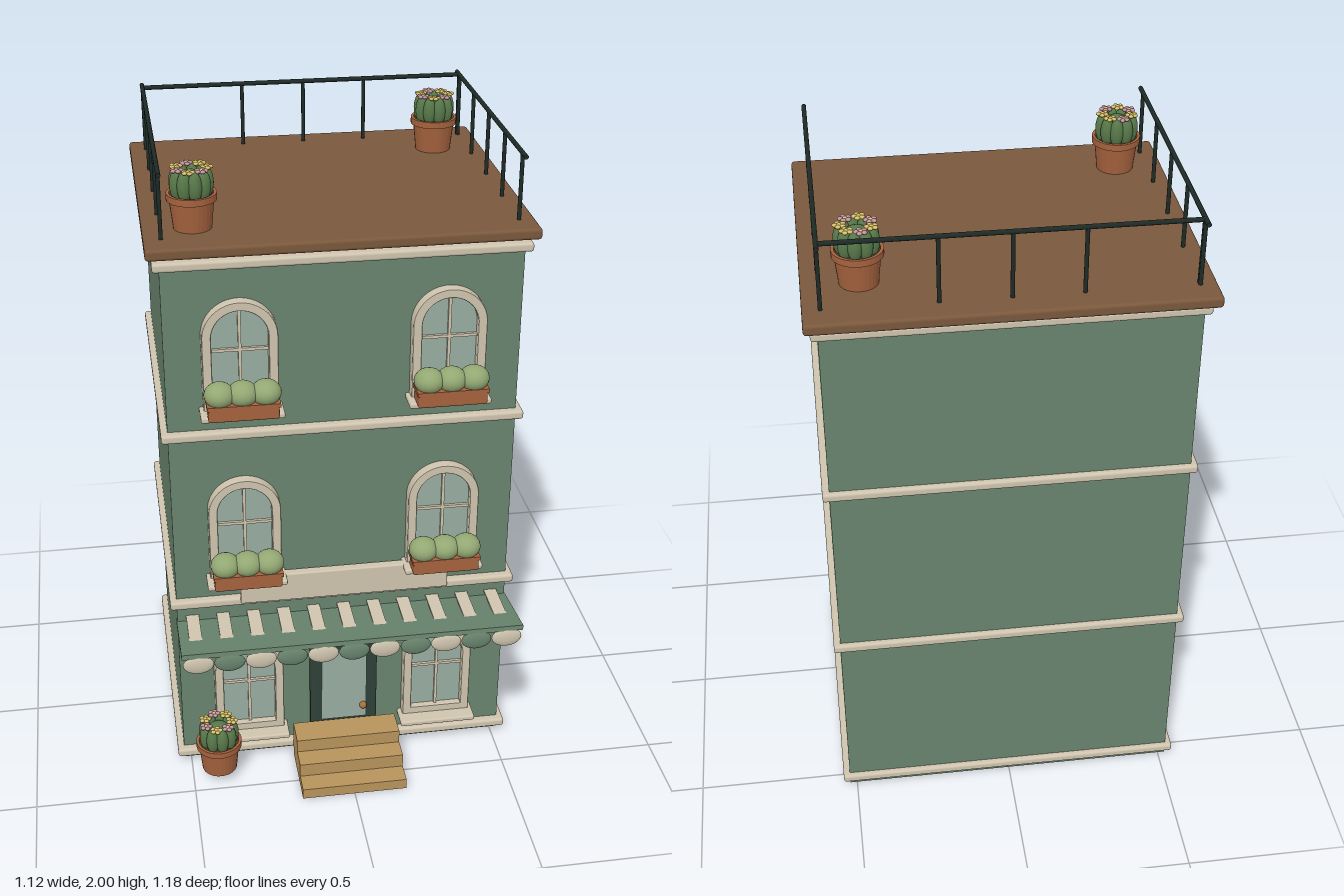
import * as THREE from 'three';
import { RoundedBoxGeometry } from 'three/addons/geometries/RoundedBoxGeometry.js';

const mat = (color) => new THREE.MeshStandardMaterial({ color });
const M = {
  wall: mat(0x69846e), cream: mat(0xcfc4ae), roof: mat(0x7a583c), rail: mat(0x1e2a26),
  dark: mat(0x2f4238), glass: mat(0x98aea1), pot: mat(0xa5623e), soil: mat(0x4a3626),
  bush: mat(0x93a873), cactus: mat(0x58794a), wood: mat(0xb8935c), brass: mat(0xa8703c),
  pink: mat(0xc492a0), yellow: mat(0xd8bf68),
};

function add(parent, name, geo, material, x = 0, y = 0, z = 0) {
  const m = new THREE.Mesh(geo, material);
  m.name = name;
  m.position.set(x, y, z);
  parent.add(m);
  return m;
}
const box = (w, h, d) => new THREE.BoxGeometry(w, h, d);
const round = (w, h, d, r) => new RoundedBoxGeometry(w, h, d, 2, r);
const sphere = new THREE.SphereGeometry(1, 20, 14);

function group(parent, name, x = 0, y = 0, z = 0) {
  const g = new THREE.Group();
  g.name = name;
  g.position.set(x, y, z);
  parent.add(g);
  return g;
}

// Arched outline: straight sides with a half-round head
function arch(Type, r, bottom, spring) {
  const p = new Type();
  p.moveTo(-r, bottom);
  p.lineTo(r, bottom);
  p.lineTo(r, spring);
  p.absarc(0, spring, r, 0, Math.PI, false);
  p.lineTo(-r, bottom);
  return p;
}

function addWindow(parent, x, y, planted) {
  const g = group(parent, 'window', x, y, 0.33);
  const frame = arch(THREE.Shape, 0.108, 0, 0.227);
  frame.holes.push(arch(THREE.Path, 0.084, 0.024, 0.227));
  add(g, 'windowFrame', new THREE.ExtrudeGeometry(frame, {
    depth: 0.029, bevelEnabled: true, bevelSize: 0.002, bevelThickness: 0.003, bevelSegments: 1, curveSegments: 20,
  }), M.cream);
  add(g, 'windowGlass', new THREE.ExtrudeGeometry(arch(THREE.Shape, 0.086, 0.02, 0.227), {
    depth: 0.012, bevelEnabled: false, curveSegments: 20,
  }), M.glass);
  add(g, 'windowBarVertical', box(0.009, 0.29, 0.012), M.cream, 0, 0.166, 0.015);
  add(g, 'windowBarHorizontal', box(0.17, 0.009, 0.012), M.cream, 0, 0.185, 0.015);
  add(g, 'windowSill', round(0.244, 0.018, 0.08, 0.006), M.cream, 0, -0.008, 0.037);
  if (!planted) return;
  // Flower box with three round shrubs
  add(g, 'planterBox', round(0.205, 0.05, 0.068, 0.006), M.pot, 0, 0.022, 0.07);
  add(g, 'planterRim', box(0.212, 0.012, 0.074), M.pot, 0, 0.042, 0.07);
  for (const i of [-1, 0, 1]) {
    add(g, 'shrub', sphere, M.bush, i * 0.067, 0.07, 0.07).scale.set(0.045, 0.038, 0.045);
  }
}

function addCactusPot(parent, x, y, z) {
  const g = group(parent, 'cactusPot', x, y, z);
  const profile = [[0, 0], [0.055, 0], [0.064, 0.085], [0.072, 0.085], [0.072, 0.105], [0.063, 0.105], [0.062, 0.093], [0, 0.093]];
  const potGeo = new THREE.LatheGeometry(profile.map(([r, h]) => new THREE.Vector2(r, h)), 28).toNonIndexed();
  potGeo.computeVertexNormals();
  add(g, 'pot', potGeo, M.pot);
  add(g, 'soil', new THREE.CylinderGeometry(0.062, 0.062, 0.006, 24), M.soil, 0, 0.094, 0);
  add(g, 'cactusCore', sphere, M.cactus, 0, 0.125, 0).scale.set(0.045, 0.045, 0.045);
  // Ribs around the core
  for (let i = 0; i < 9; i++) {
    const a = (i / 9) * Math.PI * 2;
    add(g, 'cactusRib', sphere, M.cactus, Math.cos(a) * 0.044, 0.132, Math.sin(a) * 0.044).scale.set(0.02, 0.045, 0.02);
  }
  // Ring of small five-petal blossoms
  for (let i = 0; i < 7; i++) {
    const a = (i / 7) * Math.PI * 2;
    const f = group(g, 'blossom', Math.cos(a) * 0.044, 0.176, Math.sin(a) * 0.044);
    const petal = i % 2 ? M.pink : M.yellow;
    for (let k = 0; k < 5; k++) {
      const b = (k / 5) * Math.PI * 2;
      add(f, 'petal', petalGeo, petal, Math.cos(b) * 0.012, 0, Math.sin(b) * 0.012);
    }
    add(f, 'blossomCentre', petalGeo, M.yellow, 0, 0.002, 0).scale.setScalar(0.8);
  }
}
const petalGeo = new THREE.SphereGeometry(0.008, 8, 6).scale(1, 0.65, 1);

// Straight railing bar between two points
function bar(parent, name, a, b, r) {
  const p = new THREE.Vector3(...a), q = new THREE.Vector3(...b);
  const m = add(parent, name, new THREE.CylinderGeometry(r, r, p.distanceTo(q), 10), M.rail);
  m.position.copy(p).lerp(q, 0.5);
  m.quaternion.setFromUnitVectors(new THREE.Vector3(0, 1, 0), q.sub(p).normalize());
}

export function createModel() {
  const model = new THREE.Group();
  model.name = 'townhouse';

  // Body, storey bands and roof
  add(model, 'walls', box(1.045, 1.765, 0.87), M.wall, 0, 0.8875, -0.105);
  for (const y of [0.037, 0.612, 1.197, 1.735]) {
    add(model, 'trimBand', round(1.085, 0.028, 0.912, 0.009), M.cream, 0, y, -0.1);
  }
  add(model, 'roofSlab', round(1.12, 0.034, 0.96, 0.01), M.roof, 0, 1.779, -0.11);

  // Windows; the upper storeys carry flower boxes
  for (const x of [-0.305, 0.305]) {
    addWindow(model, x, 0.118, false);
    addWindow(model, x, 0.71, true);
    addWindow(model, x, 1.288, true);
  }

  // Door
  const door = group(model, 'door');
  add(door, 'doorFrame', round(0.216, 0.445, 0.034, 0.008), M.dark, 0, 0.238, 0.343);
  add(door, 'doorGlass', box(0.145, 0.27, 0.008), M.glass, 0, 0.265, 0.36);
  add(door, 'doorKnob', sphere, M.brass, 0.062, 0.177, 0.368).scale.setScalar(0.012);

  // Steps
  [[0.037, 0.588], [0.082, 0.522], [0.126, 0.456]].forEach(([top, front], i) => {
    const bottom = [0.002, 0.037, 0.082][i];
    add(model, 'step', box(0.333, top - bottom, front - 0.365), M.wood, 0, (top + bottom) / 2, (front + 0.365) / 2);
  });

  // Blank sign board
  add(model, 'signBoard', round(0.65, 0.096, 0.03, 0.005), M.cream, 0, 0.662, 0.356);

  // Awning with stripes and a scalloped edge
  const awning = group(model, 'awning');
  add(awning, 'awningPanel', box(1.05, 0.016, 0.25), M.wall, 0, 0.548, 0.433).rotation.x = -0.145;
  for (let i = 0; i < 11; i++) {
    const x = (i - 5) * 0.095;
    add(awning, 'awningStripe', box(0.04, 0.006, 0.15), M.cream, x, 0.558, 0.4);
    add(awning, 'awningScallop', sphere, i % 2 ? M.wall : M.cream, x, 0.533, 0.552).scale.set(0.047, 0.032, 0.011);
  }

  // Roof railing on both sides and the back
  const railing = group(model, 'railing');
  for (const x of [-0.51, 0.51]) {
    bar(railing, 'sideRail', [x, 1.993, 0.325], [x, 1.993, -0.545], 0.007);
    for (let i = 0; i < 5; i++) {
      const z = 0.287 - i * 0.1975;
      bar(railing, 'sidePost', [x, 1.79, z], [x, 1.99, z], 0.006);
    }
  }
  bar(railing, 'backRail', [-0.51, 1.993, -0.513], [0.51, 1.993, -0.513], 0.007);
  for (const x of [-0.51, -0.196, 0, 0.196, 0.51]) {
    bar(railing, 'backPost', [x, 1.79, -0.513], [x, 1.99, -0.513], 0.006);
  }

  // Potted cacti on the roof and beside the door
  addCactusPot(model, -0.415, 1.795, 0.205);
  addCactusPot(model, 0.4, 1.795, -0.38);
  addCactusPot(model, -0.415, 0.038, 0.43);

  return model;
}
